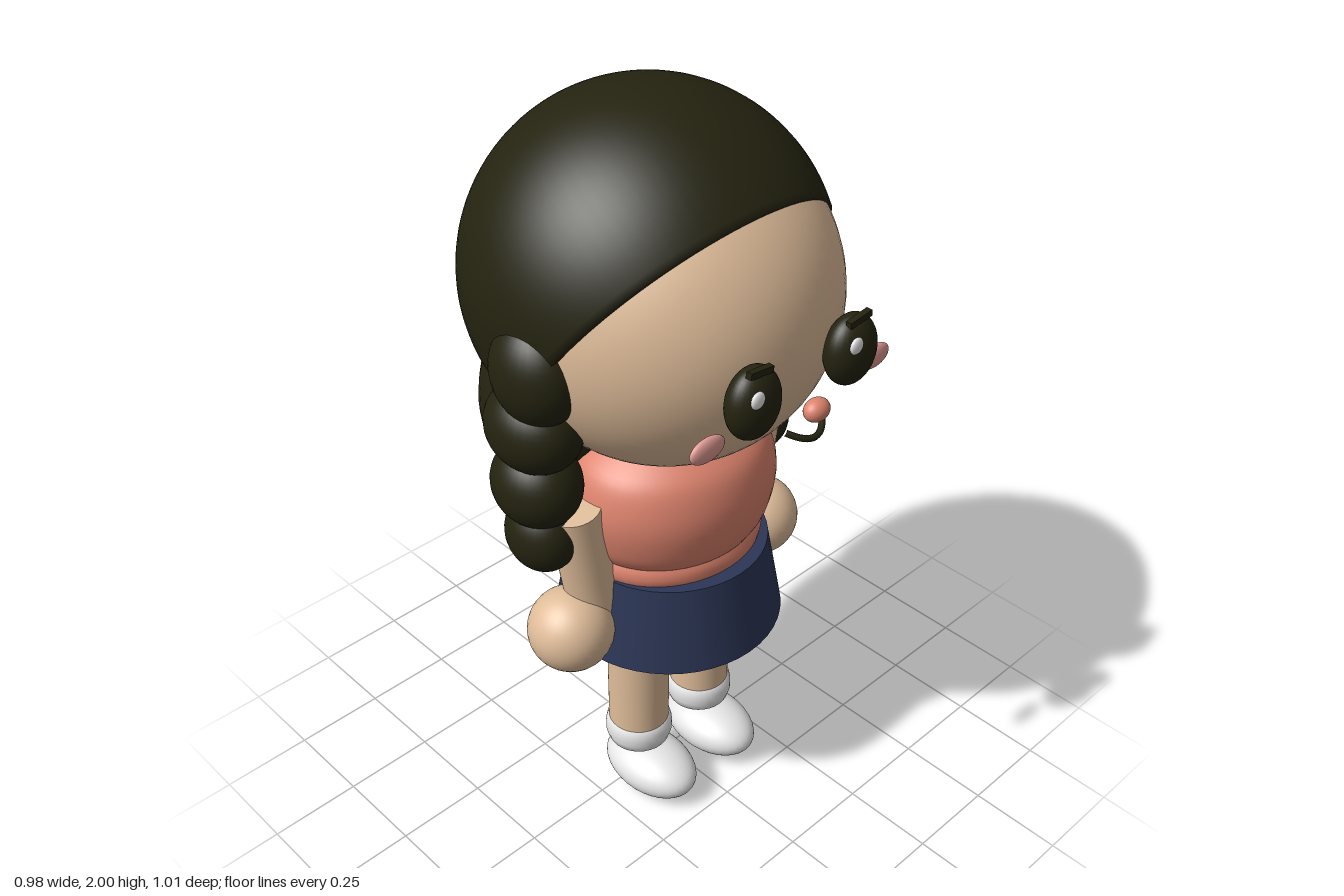
import * as THREE from 'three';

const mat = (name, color) => {
  const m = new THREE.MeshStandardMaterial({ color });
  m.name = name;
  return m;
};

export function createModel() {
  const hair = mat('dark hair', 0x242310);
  const skin = mat('skin', 0xe0bd9a);
  const coral = mat('coral shirt', 0xdd836d);
  const navy = mat('navy skirt', 0x2c3656);
  const white = mat('white', 0xeaeaea);
  const pink = mat('pink cheek', 0xe09a93);

  const model = new THREE.Group();
  model.name = 'girl';

  const add = (name, geometry, material, x = 0, y = 0, z = 0) => {
    const mesh = new THREE.Mesh(geometry, material);
    mesh.name = name;
    mesh.position.set(x, y, z);
    model.add(mesh);
    return mesh;
  };
  const ball = (name, material, [x, y, z], [rx, ry, rz], detail = 32) =>
    add(name, new THREE.SphereGeometry(1, detail, detail * 0.75).scale(rx, ry, rz), material, x, y, z);
  const lathe = (points, segments = 48) =>
    new THREE.LatheGeometry(points.map(([r, y]) => new THREE.Vector2(r, y)), segments);

  // Head
  ball('head', skin, [0, 1.52, 0], [0.42, 0.42, 0.42], 64);

  // Hair cap: sphere tilted backwards, open over the face, with a turned-in rim
  const R = 0.45, rimY = -0.132, rimAngle = Math.asin(rimY / R);
  const capProfile = [[0.405, rimY]];
  for (let i = 0; i <= 40; i++) {
    const a = THREE.MathUtils.lerp(rimAngle, Math.PI / 2, i / 40);
    capProfile.push([Math.max(0, R * Math.cos(a)), R * Math.sin(a)]);
  }
  add('hairCap', lathe(capProfile, 72), hair, 0, 1.55, -0.06).rotation.x = -Math.atan2(0.8, 0.6);
  ball('backHair', hair, [0, 1.22, -0.21], [0.38, 0.35, 0.22], 48);

  // Shirt: rounded chest over a narrow hem, slightly flattened front to back
  const chest = new THREE.SplineCurve([
    [0.245, 0.855], [0.272, 0.9], [0.29, 0.98], [0.284, 1.05], [0.255, 1.115], [0.19, 1.165],
  ].map(([r, y]) => new THREE.Vector2(r, y))).getPoints(24).map(p => [p.x, p.y]);
  add('shirt', lathe([[0, 0.85], ...chest, [0, 1.18]]), coral, 0, 0, 0.015).scale.z = 0.86;
  add('shirtHem', lathe([[0.24, 0.79], [0.252, 0.81], [0.256, 0.83], [0.252, 0.85], [0.24, 0.87]]),
    coral, 0, 0, 0.015).scale.z = 0.86;

  // Skirt
  add('skirt', new THREE.CylinderGeometry(0.259, 0.302, 0.235, 48), navy, 0, 0.693, 0.01);

  // Nose and mouth
  ball('nose', coral, [0, 1.405, 0.478], [0.035, 0.028, 0.027], 24);
  const smile = new THREE.QuadraticBezierCurve3(
    new THREE.Vector3(-0.06, 1.354, 0.443),
    new THREE.Vector3(0, 1.312, 0.515),
    new THREE.Vector3(0.06, 1.354, 0.443));
  add('mouth', new THREE.TubeGeometry(smile, 20, 0.008, 8), hair);

  // Braid beads, top to bottom: centre, radii
  const braid = [
    [[0.39, 1.455, -0.01], [0.1, 0.135, 0.122]],
    [[0.383, 1.29, -0.042], [0.107, 0.115, 0.132]],
    [[0.375, 1.12, -0.053], [0.105, 0.115, 0.122]],
    [[0.375, 0.975, -0.045], [0.085, 0.105, 0.1]],
  ];

  for (const [side, s] of [['left', 1], ['right', -1]]) {
    const name = part => side + part;

    braid.forEach(([[x, y, z], r], i) => ball(name('Braid' + (i + 1)), hair, [s * x, y, z], r));

    // Eye, lash and highlight (highlights sit on the same side of both eyes)
    ball(name('Eye'), hair, [s * 0.159, 1.475, 0.432], [0.074, 0.09, 0.051]);
    add(name('Lash'), new THREE.BoxGeometry(0.07, 0.016, 0.016), hair, s * 0.16, 1.56, 0.45)
      .rotation.z = s * 0.12;
    ball(name('EyeHighlight'), white, [s * 0.159 - 0.028, 1.51, 0.472], [0.02, 0.021, 0.009], 20);
    ball(name('Cheek'), pink, [s * 0.275, 1.397, 0.412], [0.052, 0.031, 0.015], 24);

    // Arm leaning in towards the hip, and a round hand
    const shoulder = new THREE.Vector3(s * 0.318, 1.045, 0.01);
    const wrist = new THREE.Vector3(s * 0.262, 0.7, 0.01);
    const arm = add(name('Arm'), new THREE.CylinderGeometry(0.068, 0.068, shoulder.distanceTo(wrist), 32), skin);
    arm.position.lerpVectors(shoulder, wrist, 0.5);
    arm.quaternion.setFromUnitVectors(new THREE.Vector3(0, 1, 0), shoulder.clone().sub(wrist).normalize());
    ball(name('Hand'), skin, [s * 0.343, 0.677, 0.01], [0.112, 0.112, 0.112]);

    // Leg, sock and shoe
    add(name('Leg'), new THREE.CylinderGeometry(0.083, 0.083, 0.45, 32), skin, s * 0.117, 0.405, 0.013);
    add(name('Sock'), lathe([[0, 0.145], [0.07, 0.147], [0.085, 0.157], [0.092, 0.18], [0.092, 0.205],
      [0.087, 0.226], [0.076, 0.235], [0, 0.235]], 32), white, s * 0.117, 0, 0.013);
    ball(name('Shoe'), white, [s * 0.117, 0.072, 0.062], [0.1, 0.072, 0.151]);
  }

  return model;
}
